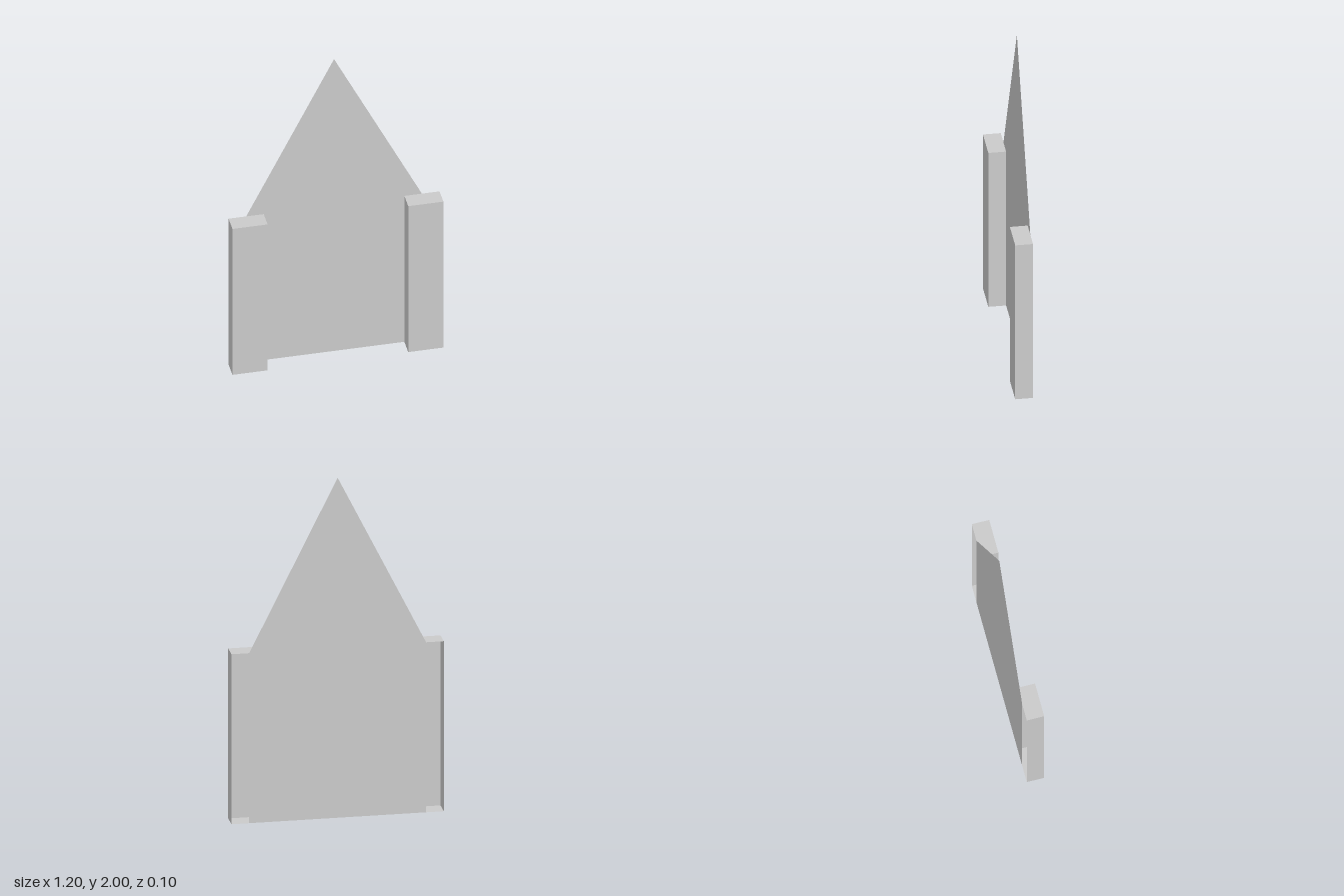
import * as THREE from 'three';

const material = new THREE.MeshStandardMaterial({
  color: 0xcccccc, flatShading: true, side: THREE.DoubleSide,
});

const WALL_HEIGHT = 1, POST_WIDTH = 0.2, DEPTH = 0.1;

// Box without its back wall: the last six indices of a box are its -z face
function openBackBox(width, height, depth) {
  const box = new THREE.BoxGeometry(width, height, depth);
  box.setIndex(Array.from(box.index.array).slice(0, 30));
  box.clearGroups();
  return box;
}

export function createModel() {
  const model = new THREE.Group();
  model.name = 'gabledPanelWithPosts';

  // Thin gabled sheet, flush with the backs of the posts
  const outline = new THREE.Shape([
    [-0.5, 0], [0.5, 0], [0.5, WALL_HEIGHT], [0, 2], [-0.5, WALL_HEIGHT],
  ].map(([x, y]) => new THREE.Vector2(x, y)));
  const panel = new THREE.Mesh(new THREE.ShapeGeometry(outline), material);
  panel.name = 'gabledPanel';
  panel.position.z = -DEPTH / 2;
  model.add(panel);

  // Hollow posts over the two side edges of the sheet
  for (const [name, side] of [['leftPost', 1], ['rightPost', -1]]) {
    const post = new THREE.Mesh(openBackBox(POST_WIDTH, WALL_HEIGHT, DEPTH), material);
    post.name = name;
    post.position.set(side * 0.5, WALL_HEIGHT / 2, 0);
    model.add(post);
  }

  return model;
}
